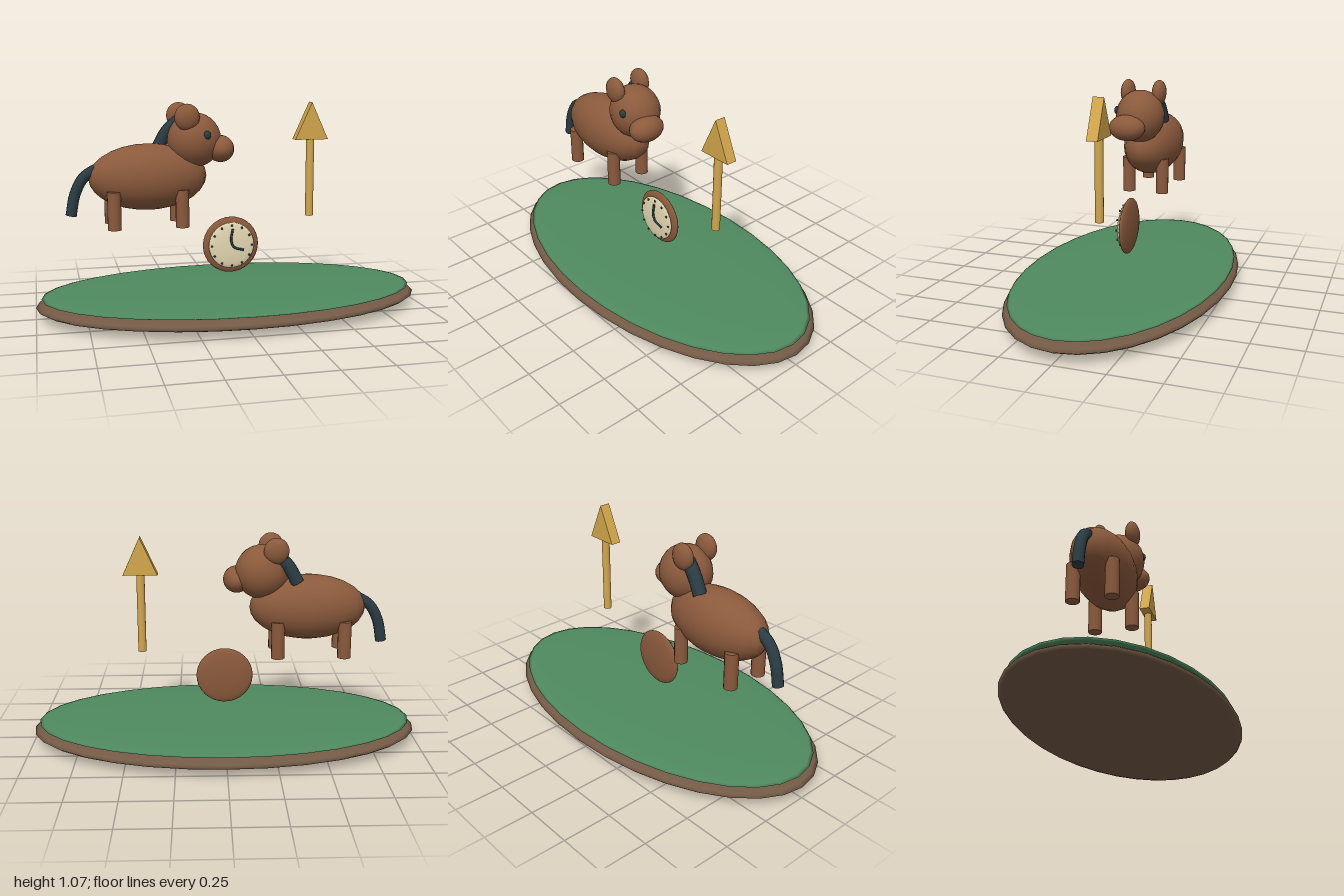
import * as THREE from 'three';

const mat = (color) => new THREE.MeshStandardMaterial({ color });
const brown = mat(0x8b5a3c);
const dark = mat(0x2a3c44);
const soil = mat(0x735a46);
const grass = mat(0x4f8a5f);
const gold = mat(0xd4a74c);
const cream = mat(0xe6dab4);

function add(parent, name, geometry, material, x = 0, y = 0, z = 0) {
  const mesh = new THREE.Mesh(geometry, material);
  mesh.name = name;
  mesh.position.set(x, y, z);
  parent.add(mesh);
  return mesh;
}

// Stretched sphere given by centre and half-sizes
function ellipsoid(parent, name, material, [x, y, z], [rx, ry, rz], segments = 20, rings = 14) {
  const geometry = new THREE.SphereGeometry(1, segments, rings).scale(rx, ry, rz);
  return add(parent, name, geometry, material, x, y, z);
}

// Round tube through points, closed at both ends
function cappedTube(parent, name, material, points, radius, sides = 10) {
  const curve = new THREE.CatmullRomCurve3(points.map((p) => new THREE.Vector3(...p)));
  const group = new THREE.Group();
  group.name = name;
  parent.add(group);
  add(group, name + 'Tube', new THREE.TubeGeometry(curve, 14, radius, sides), material);
  for (const t of [0, 1]) {
    const out = curve.getTangent(t).multiplyScalar(t ? 1 : -1);
    const cap = add(group, name + 'Cap', new THREE.CircleGeometry(radius, sides), material);
    cap.position.copy(curve.getPoint(t));
    cap.quaternion.setFromUnitVectors(new THREE.Vector3(0, 0, 1), out);
  }
  return group;
}

function makeBase() {
  const base = new THREE.Group();
  base.name = 'base';
  ellipsoid(base, 'soilDisc', soil, [0, 0.06, 0], [1, 0.06, 0.545], 32, 16);
  ellipsoid(base, 'grassDisc', grass, [0, 0.103, 0], [0.972, 0.02, 0.523], 32, 16);
  return base;
}

function makePony() {
  const pony = new THREE.Group();
  pony.name = 'pony';
  ellipsoid(pony, 'body', brown, [-0.425, 0.707, 0], [0.298, 0.167, 0.147]);

  // Head with muzzle, turned slightly to the front
  ellipsoid(pony, 'head', brown, [-0.19, 0.888, 0.006], [0.138, 0.138, 0.128]);
  ellipsoid(pony, 'muzzle', brown, [-0.062, 0.844, 0.035], [0.069, 0.068, 0.097]);
  ellipsoid(pony, 'frontEar', brown, [-0.24, 1.007, 0.09], [0.064, 0.067, 0.037], 14, 10);
  ellipsoid(pony, 'backEar', brown, [-0.255, 1.007, -0.077], [0.064, 0.067, 0.037], 14, 10);
  ellipsoid(pony, 'eye', dark, [-0.145, 0.92, 0.119], [0.019, 0.022, 0.015], 12, 8);

  // Mane and tail
  cappedTube(pony, 'mane', dark,
    [[-0.26, 0.985, -0.05], [-0.32, 0.925, -0.062], [-0.365, 0.845, -0.068]], 0.034);
  cappedTube(pony, 'tail', dark,
    [[-0.67, 0.76, 0], [-0.745, 0.713, 0], [-0.79, 0.63, 0], [-0.812, 0.523, 0]], 0.028);

  // Legs
  for (const x of [-0.606, -0.268]) {
    for (const z of [0.094, -0.094]) {
      add(pony, 'leg', new THREE.CylinderGeometry(0.034, 0.034, 0.19, 14), brown, x, 0.555, z);
    }
  }
  return pony;
}

function makeClock() {
  const clock = new THREE.Group();
  clock.name = 'clock';
  clock.position.set(0, 0.338, 0);
  ellipsoid(clock, 'case', brown, [0, 0, 0], [0.147, 0.147, 0.025], 24, 16);
  ellipsoid(clock, 'dial', cream, [0, 0, 0.022], [0.12, 0.12, 0.014], 24, 16);
  for (let i = 0; i < 12; i++) {
    const a = (i / 12) * Math.PI * 2;
    ellipsoid(clock, 'hourMark', dark,
      [Math.sin(a) * 0.106, Math.cos(a) * 0.106, 0.034], [0.006, 0.006, 0.005], 8, 6);
  }
  cappedTube(clock, 'hands', dark,
    [[0.002, 0.088, 0.041], [-0.006, 0.03, 0.041], [0.008, -0.006, 0.041], [0.06, -0.024, 0.041]],
    0.006, 8);
  return clock;
}

function makeArrow() {
  const arrow = new THREE.Group();
  arrow.name = 'arrow';
  arrow.position.set(0.425, 0, 0);
  add(arrow, 'shaft', new THREE.CylinderGeometry(0.021, 0.021, 0.41, 14), gold, 0, 0.68, 0);
  const triangle = new THREE.Shape([
    new THREE.Vector2(-0.088, 0.878),
    new THREE.Vector2(0.088, 0.878),
    new THREE.Vector2(0, 1.07),
  ]);
  const head = new THREE.ExtrudeGeometry(triangle, { depth: 0.056, bevelEnabled: false });
  add(arrow, 'arrowHead', head, gold, 0, 0, -0.028);
  return arrow;
}

export function createModel() {
  const model = new THREE.Group();
  model.name = 'ponyClockScene';
  model.add(makeBase(), makePony(), makeClock(), makeArrow());
  return model;
}
